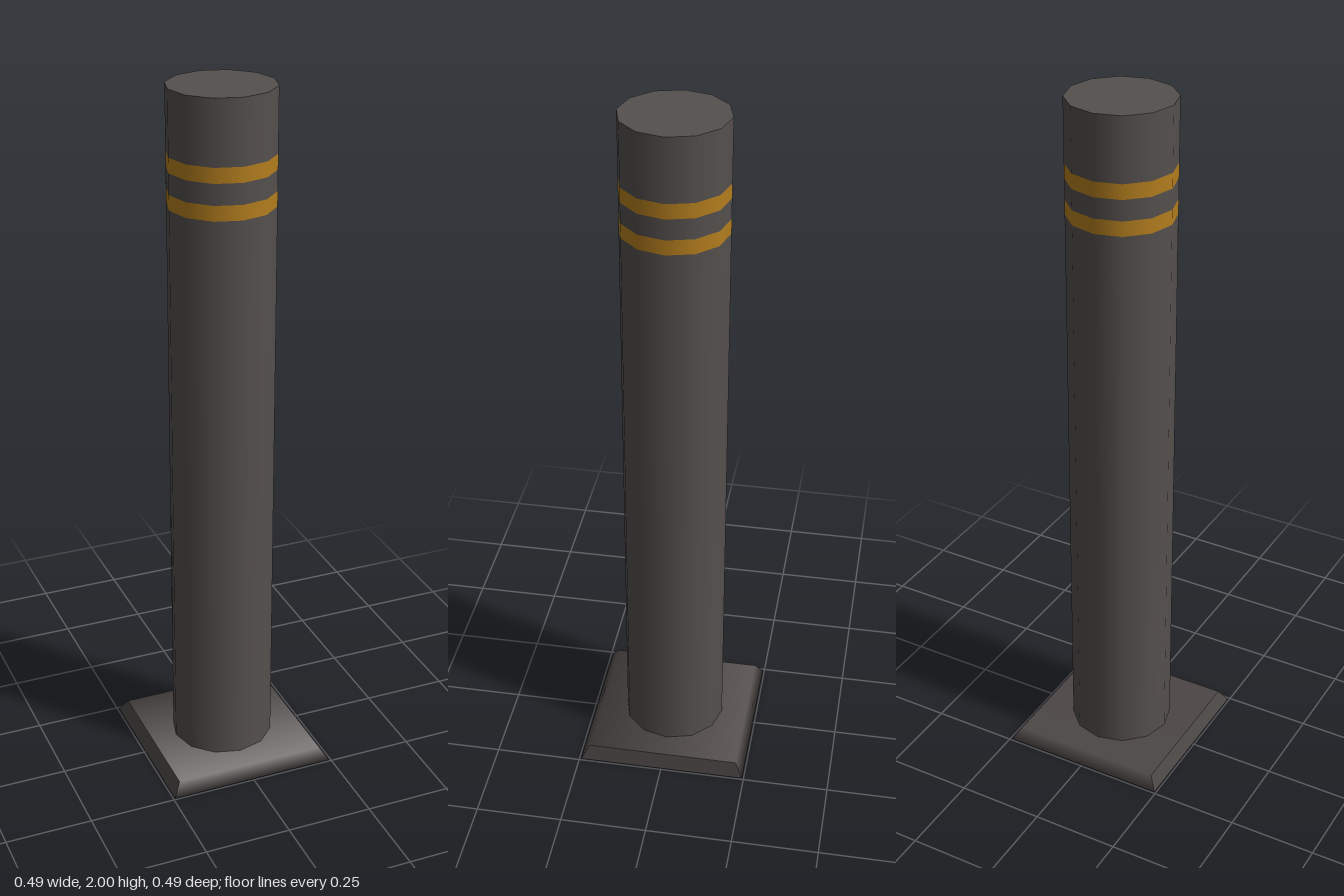
import * as THREE from 'three';

const darkMetal = new THREE.MeshStandardMaterial({ color: 0x55504e });
darkMetal.name = 'darkMetal';
const amber = new THREE.MeshStandardMaterial({ color: 0xb47e1e });
amber.name = 'amber';

const RADIUS = 0.148, SIDES = 12;
const BASE_HEIGHT = 0.037, BASE_BOTTOM = 0.245, BASE_TOP = 0.222;

export function createModel() {
  const bollard = new THREE.Group();
  bollard.name = 'bollard';

  const add = (name, geometry, material) => {
    const mesh = new THREE.Mesh(geometry, material);
    mesh.name = name;
    bollard.add(mesh);
    return mesh;
  };

  // Base plate: a four-sided bar along x, tapered towards the top, smooth across its front and back edges
  const base = new THREE.CylinderGeometry(1, 1, 2, 4, 1, false, Math.PI / 4);
  base.rotateZ(Math.PI / 2);
  const p = base.attributes.position;
  for (let i = 0; i < p.count; i++) {
    const top = p.getY(i) > 0.01;
    const centre = Math.abs(p.getY(i)) < 0.01; // middle of each end face
    const half = centre ? (BASE_BOTTOM + BASE_TOP) / 2 : top ? BASE_TOP : BASE_BOTTOM;
    p.setXYZ(
      i,
      Math.sign(p.getX(i)) * half,
      centre ? BASE_HEIGHT / 2 : top ? BASE_HEIGHT : 0,
      centre ? 0 : Math.sign(p.getZ(i)) * half
    );
  }
  add('basePlate', base, darkMetal);

  // Post: stacked flush sections, two of them amber bands
  const sections = [
    ['postShaft', 0.02, 1.68, darkMetal],
    ['lowerBand', 1.68, 1.722, amber],
    ['postBetweenBands', 1.722, 1.78, darkMetal],
    ['upperBand', 1.78, 1.822, amber],
    ['postHead', 1.822, 2, darkMetal],
  ];
  for (const [name, y0, y1, material] of sections) {
    const tube = new THREE.CylinderGeometry(RADIUS, RADIUS, y1 - y0, SIDES, 1, true);
    add(name, tube, material).position.y = (y0 + y1) / 2;
  }

  // Flat top
  const cap = new THREE.CircleGeometry(RADIUS, SIDES).rotateX(-Math.PI / 2);
  add('postCap', cap, darkMetal).position.y = 2;

  return bollard;
}
